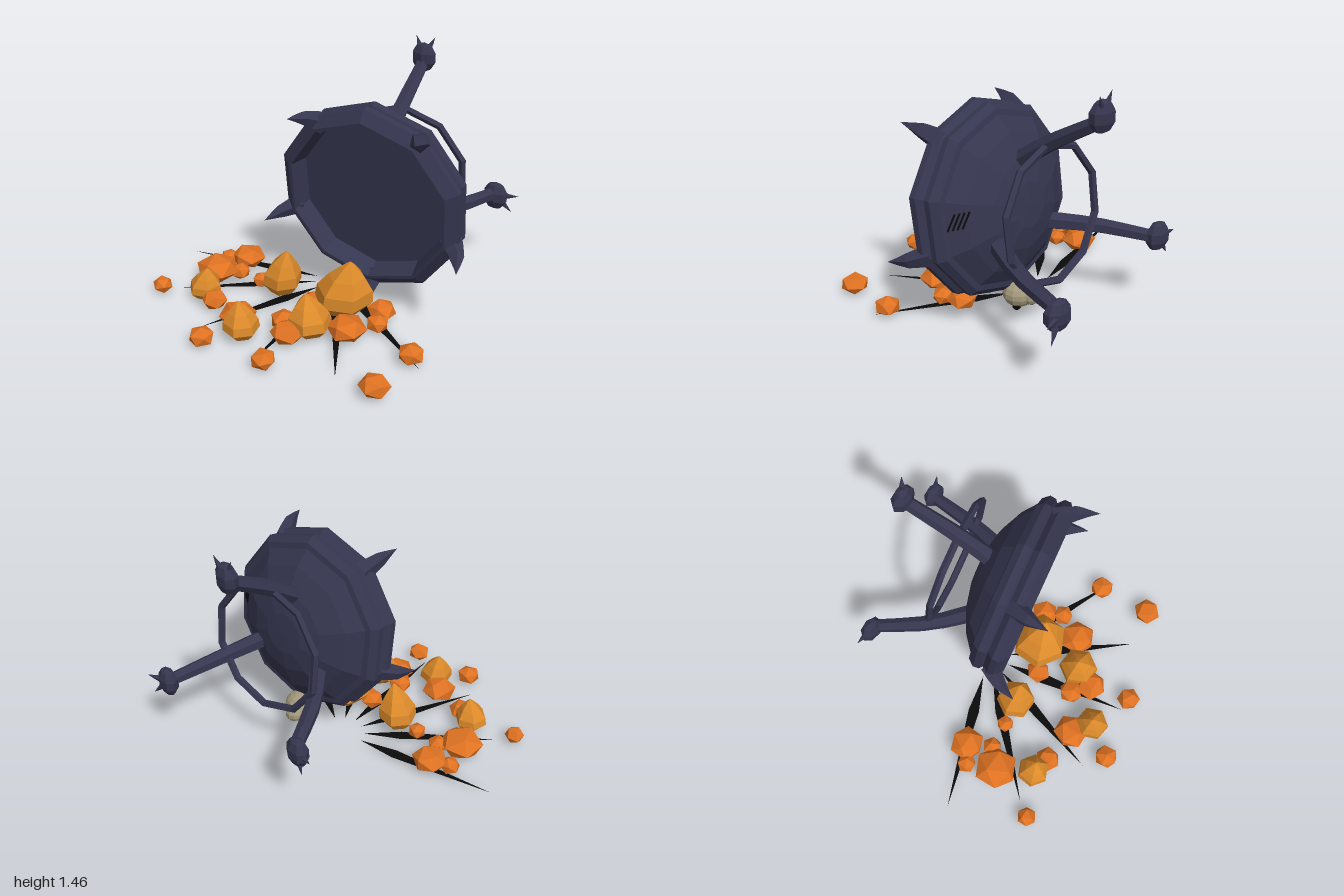
import * as THREE from 'three';

const V = (x, y, z) => new THREE.Vector3(x, y, z);
const paint = (name, color, side = THREE.FrontSide) => {
  const m = new THREE.MeshStandardMaterial({ color, flatShading: true, side });
  m.name = name;
  return m;
};

export function createModel() {
  const iron = paint('dark iron', 0x35364f);
  const black = paint('scorch black', 0x0b0b0c, THREE.DoubleSide);
  const amber = paint('amber', 0xdc8a2a);
  const orange = paint('ember orange', 0xdf7222);
  const bone = paint('bone', 0xa59a7c);

  const model = new THREE.Group();
  model.name = 'tippedCauldron';
  const add = (name, geo, mat, parent = model) => {
    const mesh = new THREE.Mesh(geo, mat);
    mesh.name = name;
    parent.add(mesh);
    return mesh;
  };

  // tube along a curve whose radius runs through the given values
  const taper = (points, radii, sides = 6, steps = 4) => {
    const curve = new THREE.CatmullRomCurve3(points);
    const geo = new THREE.TubeGeometry(curve, steps, 1, sides);
    const pos = geo.attributes.position;
    for (let i = 0; i < pos.count; i++) {
      const t = Math.floor(i / (sides + 1)) / steps;
      const c = curve.getPointAt(t);
      const k = t * (radii.length - 1);
      const a = Math.min(Math.floor(k), radii.length - 2);
      const r = THREE.MathUtils.lerp(radii[a], radii[a + 1], k - a);
      const v = V(0, 0, 0).fromBufferAttribute(pos, i).sub(c).multiplyScalar(r).add(c);
      pos.setXYZ(i, v.x, v.y, v.z);
    }
    return geo;
  };

  // cauldron, lying on its side; local +z is the mouth
  const cauldron = new THREE.Group();
  cauldron.name = 'cauldron';
  cauldron.position.set(0.322, 0.71, 0.065);
  cauldron.rotation.set(0.12, 0.215, 0, 'YXZ');
  model.add(cauldron);
  const profile = [
    [0, -0.395], [0.13, -0.39], [0.26, -0.36], [0.4, -0.295], [0.49, -0.225],
    [0.525, -0.22], [0.56, -0.18], [0.555, -0.14], [0.535, -0.125], [0.572, -0.09],
    [0.572, -0.05], [0.51, 0], [0.49, 0], [0.462, -0.12], [0, -0.12],
  ].map(([r, t]) => new THREE.Vector2(r, t));
  add('bowl', new THREE.LatheGeometry(profile, 10).rotateX(Math.PI / 2), iron, cauldron);

  // five horns round the rim
  for (let i = 0; i < 5; i++) {
    const a = -Math.PI / 2 + (i * Math.PI * 2) / 5;
    const at = (r, t) => V(Math.cos(a) * r, Math.sin(a) * r, t);
    add('rimHorn', taper([at(0.51, -0.09), at(0.585, 0), at(0.64, 0.125)], [0.066, 0.043, 0], 5), iron, cauldron);
  }

  // hoop bracing the legs
  const hoop = new THREE.TorusGeometry(0.388, 0.023, 5, 10).rotateZ(Math.PI / 2);
  add('legHoop', hoop, iron, cauldron).position.set(-0.01, -0.03, -0.54);

  // vent slits on the side of the bowl
  for (let i = 0; i < 4; i++) {
    const vent = new THREE.BoxGeometry(0.009, 0.1, 0.006)
      .rotateZ(-0.5).translate((i - 1.5) * 0.026, 0, 0)
      .rotateY(Math.atan2(0.6, -0.8)).translate(0.425, 0.04, -0.267);
    add('ventSlit', vent, black, cauldron);
  }

  // legs: path, knob centre, claw tips
  const legs = [
    [[V(0.25, 0.95, -0.17), V(0.19, 1.14, -0.42), V(0.12, 1.31, -0.69)],
      V(0.11, 1.35, -0.715), [V(0.05, 1.475, -0.715), V(0.165, 1.475, -0.75)]],
    [[V(0.1, 0.57, -0.16), V(-0.17, 0.54, -0.4), V(-0.36, 0.51, -0.65)],
      V(-0.4, 0.505, -0.67), [V(-0.525, 0.51, -0.68), V(-0.46, 0.39, -0.69)]],
    [[V(0.45, 0.61, -0.25), V(0.52, 0.545, -0.57), V(0.545, 0.515, -0.89)],
      V(0.56, 0.5, -0.925), [V(0.685, 0.505, -0.995), V(0.65, 0.39, -0.985)]],
  ];
  for (const [path, knob, claws] of legs) {
    add('leg', taper(path, [0.057, 0.048, 0.04], 6, 5), iron);
    add('foot', new THREE.SphereGeometry(0.084, 7, 5).scale(1, 1.08, 0.64), iron).position.copy(knob);
    for (const tip of claws) {
      const mid = knob.clone().lerp(tip, 0.6);
      add('claw', taper([knob, mid, tip], [0.03, 0.018, 0], 5, 3), iron);
    }
  }

  // skull under the bowl
  const skull = new THREE.Group();
  skull.name = 'skull';
  skull.position.set(0.235, 0.168, -0.215);
  model.add(skull);
  add('cranium', new THREE.SphereGeometry(0.1, 12, 9).scale(1.06, 0.9, 0.95), bone, skull);
  add('skullLump', new THREE.SphereGeometry(0.06, 10, 7), bone, skull).position.set(-0.03, -0.005, -0.068);
  for (const s of [-1, 1]) {
    const eye = add('eyeSocket', new THREE.SphereGeometry(0.026, 7, 5), black, skull);
    eye.position.set(s * 0.045, -0.069, -0.028);
  }

  // flat scorch marks fanning out just above the ground
  const fan = [[-0.94, 0.29], [-0.65, 0.64], [-0.235, 0.83], [0.215, 0.83], [0.635, 0.64], [0.92, 0.29]];
  for (const [x, z] of fan) {
    const oz = -0.08;
    const len = Math.hypot(x, z - oz);
    const shape = new THREE.Shape([[0.14, 0], [0.38, 0.034], [len, 0], [0.38, -0.034]]
      .map(([u, w]) => new THREE.Vector2(u, w)));
    const geo = new THREE.ShapeGeometry(shape).rotateX(-Math.PI / 2)
      .rotateY(-Math.atan2(z - oz, x)).translate(0, 0.025, oz);
    add('scorchMark', geo, black);
  }

  // pointed amber blobs: x, z, radius, top, lean of the tip
  const blobs = [
    [-0.16, 0.25, 0.12, 0.33, 0.05], [0.25, 0.15, 0.175, 0.38, 0.055], [0.27, 0.45, 0.125, 0.28, -0.03],
    [-0.46, 0.6, 0.1, 0.235, 0.03], [0.01, 0.73, 0.105, 0.255, -0.02],
  ];
  const drop = [[0, 0], [0.6, 0.03], [1, 0.24], [0.95, 0.46], [0.62, 0.7], [0.28, 0.88], [0, 1]];
  blobs.forEach(([x, z, r, top, lean], i) => {
    const h = top - 0.03;
    const geo = new THREE.LatheGeometry(drop.map(([u, v]) => new THREE.Vector2(u * r, v * h)), 6);
    geo.rotateY(Math.PI / 6 + i * 0.5);
    const p = geo.attributes.position;
    for (let k = 0; k < p.count; k++) p.setX(k, p.getX(k) + lean * (p.getY(k) / h) ** 2);
    add('amberBlob', geo, amber).position.set(x, 0.03, z);
  });

  // scattered embers: x, z, radius
  const embers = [
    [-0.56, 0.16, 0.105], [-0.66, 0.23, 0.06], [-0.58, 0.4, 0.13], [-0.48, 0.3, 0.06], [-0.31, 0.28, 0.053],
    [-0.34, 0.63, 0.075], [-0.11, 0.65, 0.105], [-0.71, 0.73, 0.058], [-0.11, 0.92, 0.072], [0.11, 0.5, 0.075],
    [0.22, 0.58, 0.095], [0.29, 0.83, 0.07], [0.44, 0.33, 0.11], [0.52, 0.16, 0.065], [0.46, 0.05, 0.085],
    [0.1, 0.25, 0.075], [0.84, 0.26, 0.075], [0.87, 0.6, 0.083],
  ];
  embers.forEach(([x, z, r], i) => {
    const geo = new THREE.IcosahedronGeometry(1, 0).rotateX(i * 1.3).rotateY(i * 2.1);
    const h = 0.03 + r * 0.38;
    geo.scale(r * 1.06, h, r * 1.06);
    add('ember', geo, orange).position.set(x, 0.012 + h, z);
  });

  return model;
}
